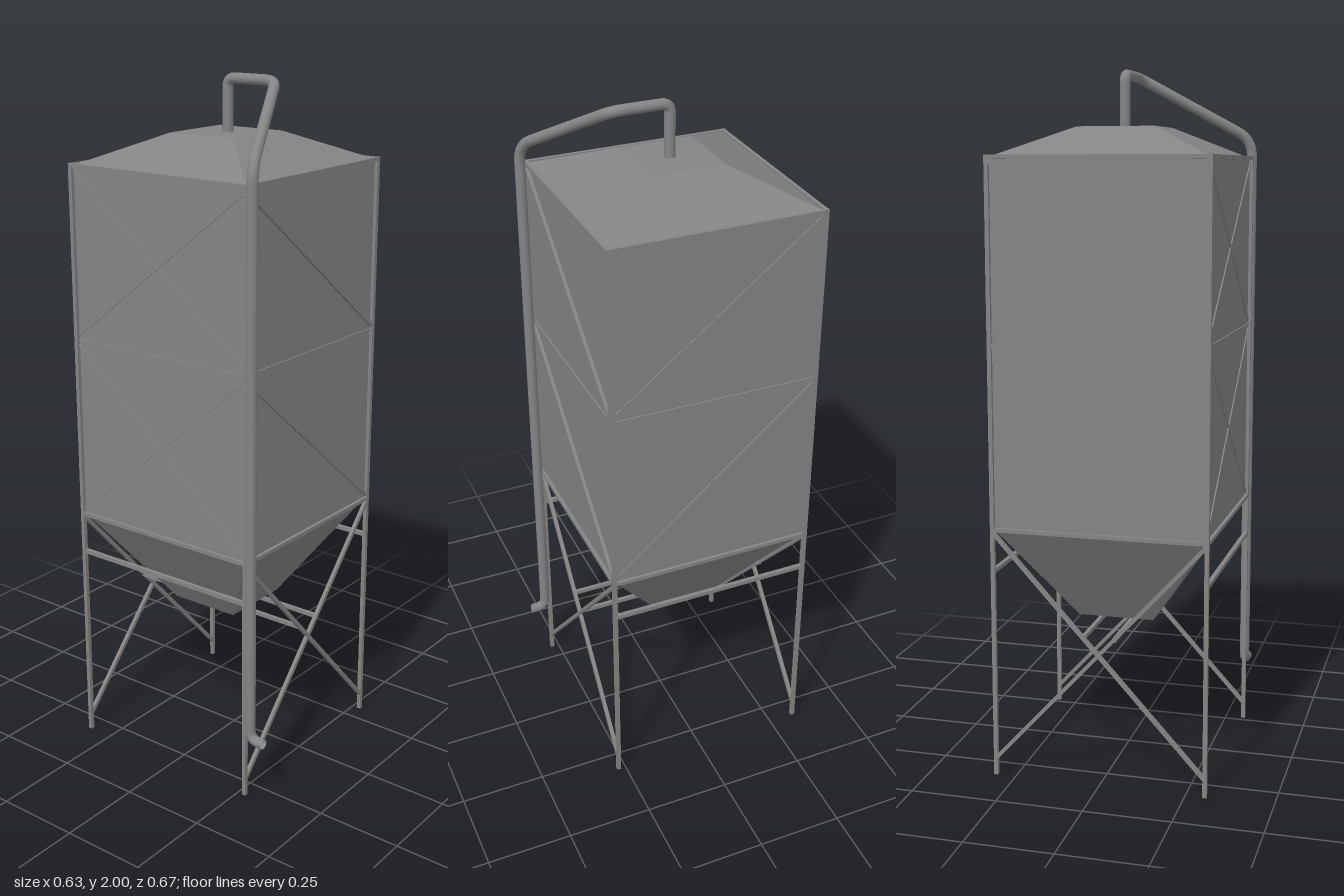
import * as THREE from 'three';

const material = new THREE.MeshStandardMaterial({ color: 0x848484, flatShading: true, side: THREE.DoubleSide });
const pipeMaterial = new THREE.MeshStandardMaterial({ color: 0x848484, side: THREE.DoubleSide });
const V = (x, y, z) => new THREE.Vector3(x, y, z);

// Square bar between two points
function bar(name, a, b, size = 0.011) {
  const mesh = new THREE.Mesh(new THREE.BoxGeometry(size, size, a.distanceTo(b)), material);
  mesh.name = name;
  mesh.position.addVectors(a, b).multiplyScalar(0.5);
  mesh.lookAt(b);
  return mesh;
}

// Polyline path with rounded corners
function roundedPath(points, radii) {
  const path = new THREE.CurvePath();
  let last = points[0];
  for (let i = 1; i < points.length - 1; i++) {
    const p = points[i];
    const before = p.clone().add(points[i - 1].clone().sub(p).setLength(radii[i - 1]));
    const after = p.clone().add(points[i + 1].clone().sub(p).setLength(radii[i - 1]));
    path.add(new THREE.LineCurve3(last, before));
    path.add(new THREE.QuadraticBezierCurve3(before, p, after));
    last = after;
  }
  path.add(new THREE.LineCurve3(last, points[points.length - 1]));
  return path;
}

export function createModel() {
  const model = new THREE.Group();
  const [low, mid, top] = [0.727, 1.26, 1.756];
  const hx = 0.307, hz = 0.301; // post centres
  const wx = 0.303, wz = 0.297; // wall faces

  // Bin and frame share a centre slightly off the origin
  const silo = new THREE.Group();
  silo.name = 'silo';
  silo.position.set(0.002, 0, -0.0295);
  model.add(silo);

  // Square bin: hopper, walls and hipped roof
  const profile = [[0, 0.437], [0.111, 0.437], [wx, low], [wx, 1.756], [0.111, 1.84], [0, 1.84]]
    .map(([r, y]) => new THREE.Vector2(r * Math.SQRT2, y));
  const binGeometry = new THREE.LatheGeometry(profile, 4).rotateY(Math.PI / 4).scale(1, 1, wz / wx);
  const bin = new THREE.Mesh(binGeometry, material);
  bin.name = 'bin';
  silo.add(bin);

  // Corner posts
  for (const sx of [-1, 1]) for (const sz of [-1, 1]) {
    silo.add(bar('cornerPost', V(sx * hx, 0, sz * hz), V(sx * hx, 1.762, sz * hz), 0.012));
  }

  for (const s of [-1, 1]) {
    // Rails round the top and bottom of the bin
    for (const y of [low, top]) {
      silo.add(bar('crossRail', V(-hx, y, s * hz), V(hx, y, s * hz)));
      silo.add(bar('sideRail', V(s * hx, y, -hz), V(s * hx, y, hz)));
    }
    // Slim rails at mid height, set against the walls
    silo.add(bar('middleCrossRail', V(-hx, mid, s * wz), V(hx, mid, s * wz), 0.008));
    silo.add(bar('middleSideRail', V(s * wx, mid, -hz), V(s * wx, mid, hz), 0.008));

    // Diagonal wall braces
    for (const [y0, y1] of [[low, mid], [mid, top]]) {
      const a = y0 + 0.01, b = y1 - 0.01;
      silo.add(bar('wallBrace', V(-s * hx, b, s * hz), V(s * hx, a, s * hz), 0.01));
      for (const d of [-1, 1]) {
        silo.add(bar('sideWallBrace', V(s * wx, a, d * hz), V(s * wx, b, -d * hz), 0.007));
      }
    }
    // Crossed leg braces at front and back
    for (const d of [-1, 1]) {
      silo.add(bar('legBrace', V(-d * hx, 0.05, s * hz), V(d * hx, 0.72, s * hz)));
    }
    // Side ties and the pair of bars beneath the hopper
    silo.add(bar('sideTie', V(s * hx, 0.607, -hz), V(s * hx, 0.607, hz), 0.012));
    silo.add(bar('hopperBar', V(s * 0.045, 0.432, -hz), V(s * 0.045, 0.432, hz)));
  }

  // Fill pipe from the ground coupling up to the roof
  const path = roundedPath([
    V(-0.303, 0.187, 0.335), V(-0.303, 0.187, 0.289), V(-0.303, 1.81, 0.289),
    V(0.005, 1.985, 0.135), V(0.005, 1.985, -0.026), V(0.005, 1.82, -0.026),
  ], [0.032, 0.05, 0.035, 0.025]);
  const fillPipe = new THREE.Mesh(new THREE.TubeGeometry(path, 400, 0.015, 16), pipeMaterial);
  fillPipe.name = 'fillPipe';
  model.add(fillPipe);

  return model;
}
